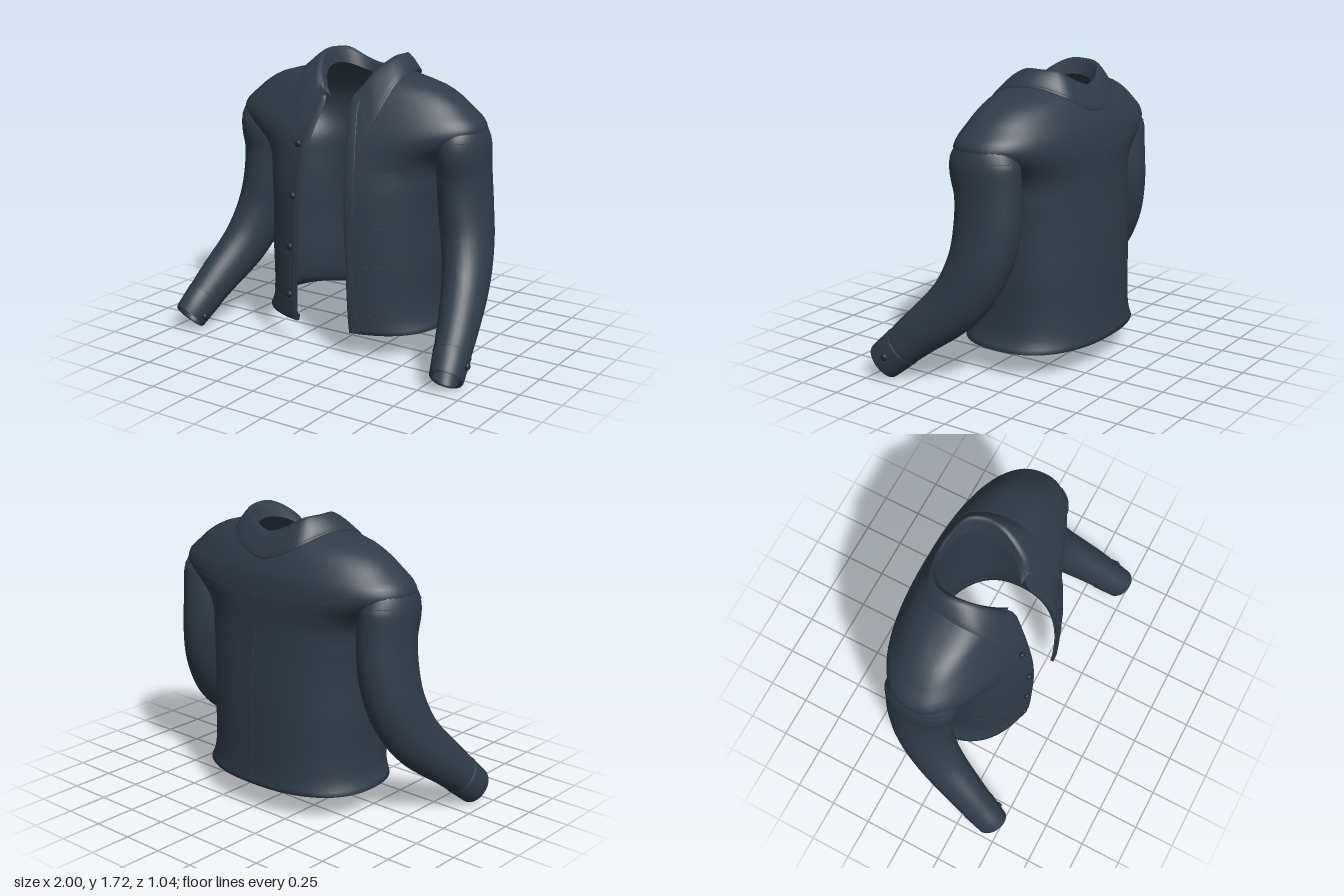
import * as THREE from 'three';

const mat = (name, color, side = THREE.DoubleSide) => {
  const m = new THREE.MeshStandardMaterial({ color, side });
  m.name = name;
  return m;
};

// Torso sections: y, half width, back z, front z, half width of the front opening
const SECTIONS = [
  [0.16, 0.57, -0.515, 0.325, 0.185],
  [0.22, 0.54, -0.508, 0.335, 0.183],
  [0.32, 0.525, -0.503, 0.342, 0.18],
  [0.60, 0.53, -0.497, 0.345, 0.17],
  [0.80, 0.53, -0.488, 0.342, 0.16],
  [1.00, 0.545, -0.475, 0.325, 0.15],
  [1.14, 0.57, -0.468, 0.297, 0.14],
  [1.21, 0.63, -0.467, 0.276, 0.133],
  [1.28, 0.73, -0.464, 0.25, 0.121],
  [1.34, 0.795, -0.457, 0.224, 0.11],
  [1.40, 0.778, -0.445, 0.195, 0.096],
  [1.45, 0.72, -0.43, 0.17, 0.085],
  [1.53, 0.62, -0.40, 0.125, 0.10],
  [1.58, 0.52, -0.378, 0.095, 0.14],
  [1.62, 0.37, -0.36, 0.06, 0.18],
  [1.65, 0.25, -0.345, 0.04, 0.21],
];
// Sleeve stations: centre x, y, z, radius across, radius front to back
const SLEEVE = [
  [0.66, 1.43, -0.11, 0.01, 0.01],
  [0.665, 1.40, -0.11, 0.07, 0.11],
  [0.672, 1.35, -0.11, 0.122, 0.18],
  [0.676, 1.26, -0.11, 0.143, 0.215],
  [0.675, 1.10, -0.13, 0.145, 0.203],
  [0.69, 0.90, -0.13, 0.147, 0.20],
  [0.725, 0.70, -0.095, 0.145, 0.185],
  [0.775, 0.495, 0.012, 0.133, 0.164],
  [0.85, 0.27, 0.25, 0.112, 0.128],
  [0.90, 0.085, 0.45, 0.09, 0.105],
];
// Collar stations from front to centre back: stand base, fold line, outer edge
const COLLAR = [
  [[0.075, 1.50, 0.115], [0.13, 1.55, 0.13], [0.245, 1.30, 0.247]],
  [[0.11, 1.54, 0.085], [0.17, 1.63, 0.075], [0.295, 1.46, 0.165]],
  [[0.16, 1.60, 0.02], [0.21, 1.695, -0.01], [0.33, 1.595, 0.05]],
  [[0.19, 1.63, -0.06], [0.235, 1.728, -0.09], [0.34, 1.635, -0.07]],
  [[0.20, 1.64, -0.17], [0.24, 1.73, -0.19], [0.318, 1.635, -0.22]],
  [[0.17, 1.62, -0.26], [0.20, 1.72, -0.28], [0.25, 1.585, -0.358]],
  [[0.09, 1.58, -0.32], [0.10, 1.66, -0.33], [0.12, 1.515, -0.408]],
  [[0, 1.56, -0.33], [0, 1.63, -0.345], [0, 1.485, -0.42]],
];

const interp = (keys, rows) => {
  const it = new THREE.CubicInterpolant(keys, rows.flat(), rows[0].length, new Float32Array(rows[0].length));
  return t => Array.from(it.evaluate(t));
};
const sectionAt = interp(SECTIONS.map(r => r[0]), SECTIONS.map(r => r.slice(1)));
const sleeveRadii = interp(SLEEVE.map((_, i) => i), SLEEVE.map(r => r.slice(3)));
const sleevePath = new THREE.CatmullRomCurve3(SLEEVE.map(r => new THREE.Vector3(r[0], r[1], r[2])));
const SPAN = SLEEVE.length - 1, ZC = -0.1, N = 2.35;

// Grid surface through rows of points
function loft(rows, closed = false) {
  const n = rows[0].length, idx = [], pos = rows.flat().flatMap(p => [p.x, p.y, p.z]);
  for (let i = 0; i < rows.length - 1; i++)
    for (let j = 0; j < (closed ? n : n - 1); j++) {
      const k = (j + 1) % n, a = i * n + j, b = i * n + k;
      idx.push(a, b, b + n, a, b + n, a + n);
    }
  const g = new THREE.BufferGeometry();
  g.setAttribute('position', new THREE.Float32BufferAttribute(pos, 3));
  g.setIndex(idx);
  g.computeVertexNormals();
  return g;
}
const steps = (n, a, b) => Array.from({ length: n + 1 }, (_, i) => a + (b - a) * i / n);

// Depth of the torso surface at x, y; side is 1 for front, -1 for back
function torsoPoint(x, y, side, lift = 0) {
  const [w, zb, zf] = sectionAt(y);
  const k = Math.pow(Math.max(0, 1 - Math.pow(Math.abs(x) / w, N)), 1 / N);
  return new THREE.Vector3(x, y, ZC + ((side > 0 ? zf : zb) - ZC) * k + lift * side);
}

// One torso ring, running from the left front edge round the back to the right
function torsoRing(y, inset = 0) {
  const [w, zb, zf, open] = sectionAt(y);
  const a0 = Math.asin(Math.pow(open / w, N / 2));
  return steps(72, a0, 2 * Math.PI - a0).map(a => {
    const s = Math.sin(a), c = Math.cos(a), p = v => Math.sign(v) * Math.pow(Math.abs(v), 2 / N);
    const drop = y > 1.4 && c < 0 ? 0.2 * (y - 1.4) * c * c : 0;
    return new THREE.Vector3((w - inset) * p(s), y - drop, ZC + ((c > 0 ? zf - ZC : ZC - zb) - inset) * p(c));
  });
}

function sleevePoint(t, a, s, lift = 0) {
  const c = sleevePath.getPoint(t / SPAN), T = sleevePath.getTangent(t / SPAN);
  const U = new THREE.Vector3(1, 0, 0).addScaledVector(T, -T.x).normalize();
  const V = new THREE.Vector3().crossVectors(T, U);
  const [rx, rz] = sleeveRadii(t);
  c.addScaledVector(U, (rx + lift) * Math.cos(a)).addScaledVector(V, (rz + lift) * Math.sin(a));
  c.x *= s;
  return c;
}
const sleeveRing = (t, s, lift = 0) =>
  steps(31, 0, 2 * Math.PI * 31 / 32).map(a => sleevePoint(t, -a * s, s, lift)).reverse();

export function createModel() {
  const jacket = new THREE.Group();
  jacket.name = 'jacket';
  const cloth = mat('navy cloth', 0x303b48);
  const buttonMat = mat('dark button', 0x232b35, THREE.FrontSide);
  const thread = mat('seam thread', 0x3b4653, THREE.FrontSide);
  const add = (name, geo, m = cloth) => {
    const mesh = new THREE.Mesh(geo, m);
    mesh.name = name;
    jacket.add(mesh);
    return mesh;
  };
  const stitch = (name, pts) =>
    add(name, new THREE.TubeGeometry(new THREE.CatmullRomCurve3(pts), pts.length * 2, 0.0015, 4), thread);
  const button = (name, p, dir) => {
    const b = add(name, new THREE.SphereGeometry(0.021, 16, 10), buttonMat);
    b.position.copy(p);
    b.scale.z = 0.65;
    b.lookAt(p.clone().add(dir));
  };

  // Torso shell with a turned-in hem
  add('torso', loft([torsoRing(0.2, 0.02), torsoRing(0.165, 0.015), ...steps(60, 0.16, 1.65).map(y => torsoRing(y))]));

  // Front plackets with their stitching
  for (const s of [1, -1]) {
    const edge = (y, d, lift) => torsoPoint(s * (sectionAt(y)[3] + d), y, 1, lift);
    const ys = steps(30, 0.162, 1.5);
    add('placket', loft(ys.map(y => [[0, -0.008], [-0.002, 0.002], [0.03, 0.004], [0.055, 0.003], [0.058, 0]].map(([d, l]) => edge(y, d, l)))));
    stitch('placketStitch', steps(30, 0.165, 1.32).map(y => edge(y, 0.02, 0.004)));
  }

  // Pockets: thin patches that follow the chest, outlined with stitching
  const pocket = (name, x0, x1, y0, y1) => {
    const on = (x, y) => torsoPoint(x, y, 1, 0.004);
    add(name, loft(steps(10, y0, y1).map(y => steps(10, x0, x1).map(x => on(x, y)))));
    for (const y of [y0, y1]) stitch('pocketStitch', steps(8, x0, x1).map(x => on(x, y)));
    for (const x of [x0, x1]) stitch('pocketStitch', steps(8, y0, y1).map(y => on(x, y)));
  };
  pocket('chestPocket', 0.215, 0.43, 0.8, 1.115);
  pocket('leftHipPocket', 0.215, 0.48, 0.28, 0.57);
  pocket('rightHipPocket', -0.49, -0.225, 0.28, 0.57);

  // Back yoke seam and centre seam
  stitch('yokeSeam', steps(24, -0.56, 0.56).map(x => torsoPoint(x, 1.29 + 0.1 * x * x, -1, 0.003)));
  stitch('centreBackSeam', steps(16, 0.17, 1.29).map(y => torsoPoint(0, y, -1, 0.003)));

  // Collar: a stand rising to the fold, then the fall with pointed tips
  const centre = new THREE.Vector3(0, 1.3, -0.12);
  const lines = [0, 1, 2].map(k => {
    const half = COLLAR.map(st => new THREE.Vector3(...st[k]));
    const other = half.slice(0, -1).reverse().map(p => new THREE.Vector3(-p.x, p.y, p.z));
    return new THREE.CatmullRomCurve3([...half, ...other]);
  });
  const collarRow = (k, f, push) => steps(70, 0, 1).map(u => {
    const p = lines[k].getPoint(u).lerp(lines[k + 1].getPoint(u), f);
    return p.addScaledVector(p.clone().sub(centre).normalize(), push);
  });
  add('collar', loft([
    collarRow(1, 1, -0.004), collarRow(1, 0.96, 0.004), collarRow(1, 0.7, 0.008), collarRow(1, 0.4, 0.01),
    collarRow(1, 0.15, 0.007), collarRow(1, 0, 0), collarRow(0, 0.8, -0.003), collarRow(0, 0.4, 0), collarRow(0, 0, 0),
  ]));
  stitch('collarStitch', collarRow(1, 0.9, 0.006).filter((_, i) => i % 2 === 0));

  // Sleeves, cuffs and their seams
  for (const s of [1, -1]) {
    const side = s > 0 ? 'left' : 'right';
    add(side + 'Sleeve', loft(steps(54, 0, SPAN).reverse().map(t => sleeveRing(t, s)), true));
    add(side + 'Cuff', loft([
      sleeveRing(8.6, s, -0.02), sleeveRing(8.96, s, -0.018), sleeveRing(9, s, -0.006),
      sleeveRing(8.97, s, 0.004), sleeveRing(8.7, s, 0.004), sleeveRing(8.4, s, 0.003), sleeveRing(8.39, s, 0),
    ], true));
    stitch('cuffStitch', steps(24, 0, 2 * Math.PI).map(a => sleevePoint(8.43, a, s, 0.003)));
    for (const f of [1, -1])
      stitch('sleeveHeadSeam', steps(8, 0.6, 1.7).map(a => sleevePoint(2.6, f * a, s, 0.002)));
  }

  // Buttons down the right front, and one on each cuff
  for (const [x, y] of [[-0.2, 1.23], [-0.205, 0.93], [-0.228, 0.62], [-0.238, 0.32]])
    button('frontButton', torsoPoint(x, y, 1, 0.01), new THREE.Vector3(-0.2, 0, 1));
  button('leftCuffButton', sleevePoint(8.68, 0, 1, 0.01), new THREE.Vector3(1, 0, 0));
  button('rightCuffButton', sleevePoint(8.85, Math.PI, -1, 0.01), new THREE.Vector3(1, 0, 0));
  return jacket;
}
